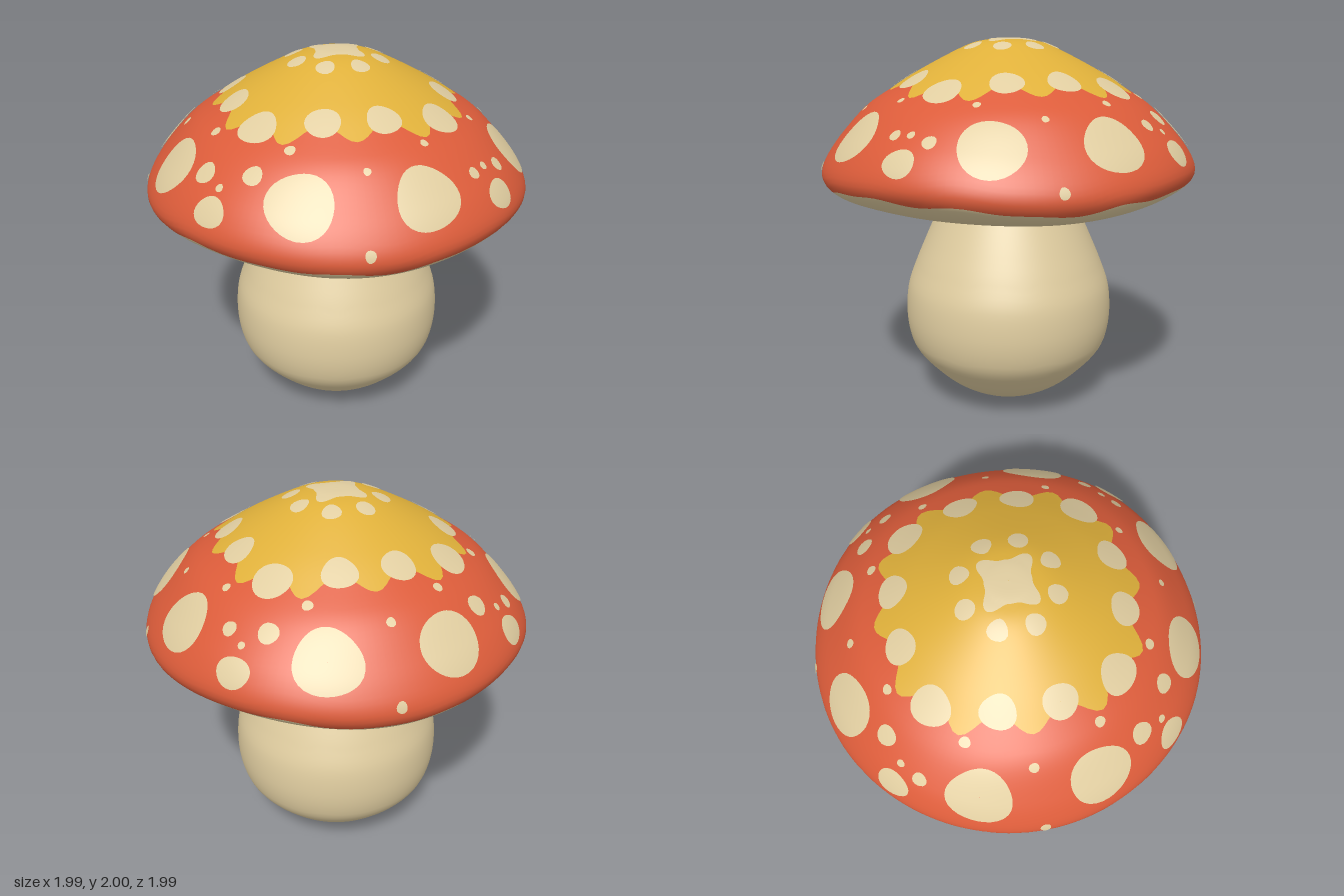
import * as THREE from 'three';
import { ParametricGeometry } from 'three/addons/geometries/ParametricGeometry.js';

const TAU = Math.PI * 2;

function material(name, color) {
  const m = new THREE.MeshStandardMaterial({ color });
  m.name = name;
  return m;
}

function spline(points) {
  const c = new THREE.SplineCurve(points.map(([r, y]) => new THREE.Vector2(r, y)));
  c.arcLengthDivisions = 1000;
  return c;
}

// Distance along a profile at which a test first becomes true.
function find(curve, test) {
  const n = 1000, len = curve.getLength();
  for (let i = 0; i <= n; i++) if (test(curve.getPointAt(i / n))) return (i / n) * len;
  return len;
}

export function createModel() {
  const red = material('cap red', 0xdc5c3a);
  const yellow = material('cap yellow', 0xdfb03a);
  const cream = material('cream', 0xe0cda0);
  const brown = material('collar brown', 0xb67648);

  const capCurve = spline([
    [0.001, 1.995], [0.1, 1.99], [0.22, 1.96], [0.44, 1.85], [0.6, 1.755], [0.76, 1.65], [0.89, 1.53],
    [0.96, 1.44], [0.993, 1.365], [0.985, 1.31], [0.94, 1.26], [0.86, 1.21], [0.75, 1.168],
    [0.61, 1.148], [0.48, 1.165], [0.34, 1.19],
  ]);
  const stemCurve = spline([
    [0.34, 1.22], [0.36, 1.15], [0.385, 1.09], [0.46, 0.92], [0.515, 0.79], [0.56, 0.66], [0.573, 0.52],
    [0.56, 0.4], [0.525, 0.31], [0.44, 0.21], [0.34, 0.12], [0.22, 0.05], [0.1, 0.015], [0.001, 0.003],
  ]);
  const capLength = capCurve.getLength();
  const stemLength = stemCurve.getLength();

  // Point on the cap at distance s from the top and angle a; the rim sags in four lobes.
  function capPoint(s, a, lift, target) {
    const u = THREE.MathUtils.clamp(s / capLength, 0, 1);
    const p = capCurve.getPointAt(u), t = capCurve.getTangentAt(u);
    const r = p.x - t.y * lift;
    const sag = 0.035 * (0.5 - 0.5 * Math.cos(4 * a)) * THREE.MathUtils.smoothstep(p.x, 0.7, 0.97);
    target.set(r * Math.sin(a), p.y + t.x * lift - sag, r * Math.cos(a));
  }

  function stemPoint(s, a, lift, target) {
    const p = stemCurve.getPointAt(THREE.MathUtils.clamp(s / stemLength, 0, 1));
    target.set(p.x * Math.sin(a), p.y, p.x * Math.cos(a));
  }

  const group = new THREE.Group();
  group.name = 'mushroom';

  function add(name, fn, mat, slices, stacks, parent = group) {
    const mesh = new THREE.Mesh(new ParametricGeometry(fn, slices, stacks), mat);
    mesh.name = name;
    parent.add(mesh);
  }

  // Ring of surface between two borders that may vary with the angle.
  function band(name, point, from, to, mat, slices, lift = 0) {
    add(name, (u, v, target) => {
      const a = v * TAU;
      point(THREE.MathUtils.lerp(from(a), to(a), u), a, lift, target);
    }, mat, slices, 144);
  }

  // Cap skin, underside and brown gill ring
  const lip = find(capCurve, (p) => p.y < 1.292);
  const lipEdge = (a) => lip + 0.012 * Math.sin(9 * a + 1) + 0.008 * Math.sin(16 * a);
  const gillEdge = (a) => capLength - 0.22 + 0.012 * Math.sin(11 * a) + 0.01 * Math.sin(7 * a);
  band('capSkin', capPoint, () => 0, lipEdge, red, 48);
  band('capUnderside', capPoint, lipEdge, gillEdge, cream, 24);
  band('gillRing', capPoint, gillEdge, () => capLength, brown, 8);

  // Stem with a wavy collar
  const collar = find(stemCurve, (p) => p.y < 1.095);
  const collarEdge = (a) => collar + 0.012 * Math.sin(12 * a) + 0.006 * Math.sin(19 * a);
  band('stemCollar', stemPoint, () => 0, collarEdge, brown, 6);
  band('stem', stemPoint, collarEdge, () => stemLength, cream, 40);

  // Yellow crown with twelve points, and the cream star on top
  const crownScale = find(capCurve, (p) => p.x > 0.6) / 0.6;
  const crownEdge = (a) =>
    crownScale * (0.55 + (0.1 + 0.02 * Math.cos(4 * a)) * Math.pow(0.5 - 0.5 * Math.cos(12 * a), 1.4));
  band('yellowCrown', capPoint, () => 0, crownEdge, yellow, 24, 0.003);
  band('topStar', capPoint, () => 0, (a) => 0.128 + 0.03 * Math.cos(4 * a) + 0.008 * Math.cos(8 * a), cream, 8, 0.006);

  // Round spots that follow the cap: angle a, distance from the axis, half width and half length
  const spots = new THREE.Group();
  spots.name = 'spots';
  group.add(spots);
  function spot(a, radius, w, l = w) {
    const s0 = find(capCurve, (p) => p.x >= radius);
    add('spot', (u, v, target) => {
      const f = v * TAU, t = 0.002 + 0.998 * u;
      const k = t * (1 + 0.04 * Math.sin(3 * f + 5 * a));
      capPoint(s0 + l * k * Math.cos(f), a + (w * k * Math.sin(f)) / radius, 0.006, target);
    }, cream, w > 0.1 ? 8 : 4, w > 0.06 ? 32 : 16, spots);
  }

  const deg = Math.PI / 180;
  for (let i = 0; i < 4; i++) {
    const a = i * 90 * deg;
    spot(a, 0.945, 0.085, 0.072);
    spot(a + 45 * deg, 0.985, 0.025, 0.028);
    spot(a, 0.6, 0.097, 0.095);
    for (const side of [-1, 1]) {
      spot(a + side * 26 * deg, 0.87, 0.155, 0.145);
      spot(a + side * 30 * deg, 0.535, 0.083);
      spot(a + side * 23 * deg, 0.22, 0.046, 0.05);
    }
  }

  // Scattered dots: x, z, radius
  const dots = [
    [-0.11, -0.87, 0.036], [0, -0.86, 0.02], [0.12, -0.8, 0.052], [0.22, -0.64, 0.024], [-0.21, -0.64, 0.027],
    [-0.52, -0.55, 0.024], [0.52, -0.55, 0.022], [-0.65, -0.22, 0.026], [0.65, -0.21, 0.026],
    [-0.83, -0.12, 0.055], [-0.79, 0.13, 0.048], [-0.87, 0, 0.02], [0.8, -0.1, 0.05], [0.82, 0.09, 0.036],
    [0.865, 0, 0.018], [-0.52, 0.55, 0.018], [0.52, 0.55, 0.018], [-0.09, 0.845, 0.03], [0, 0.845, 0.021],
    [0.11, 0.86, 0.036], [-0.64, 0.22, 0.026], [0.66, 0.21, 0.022], [-0.21, 0.645, 0.02], [0.22, 0.645, 0.02],
  ];
  for (const [x, z, r] of dots) spot(Math.atan2(x, z), Math.hypot(x, z), r);

  return group;
}
